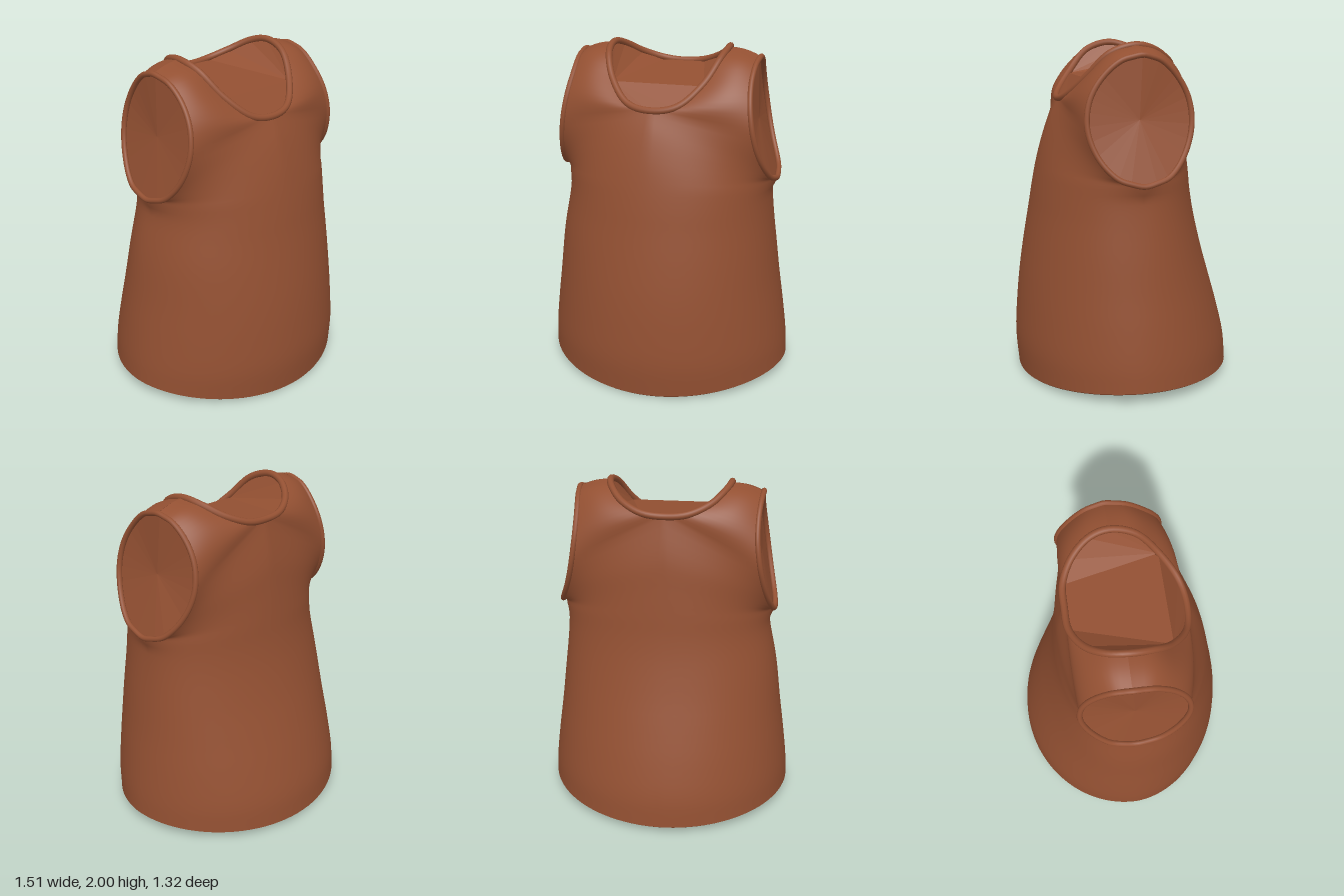
import * as THREE from 'three';
import { mergeVertices, mergeGeometries } from 'three/addons/utils/BufferGeometryUtils.js';

const { lerp, clamp, smoothstep } = THREE.MathUtils;
const V = (x, y, z) => new THREE.Vector3(x, y, z);
const curve = (pts) => new THREE.CatmullRomCurve3(pts.map((p) => V(...p)));
const range = (n, f) => Array.from({ length: n }, (_, i) => f(i));

// The right half mirrors the left but is a touch slimmer under the arm
const mirror = (p) => V(-p.x * (1 - 0.045 * Math.exp(-(((p.y - 1.18) / 0.2) ** 2))), p.y, p.z);

// A path whose integer parameter lands on its points, with a corner where the two pieces meet
function path(lower, upper) {
  const n = lower.length - 1, m = upper.length;
  const a = curve(lower), b = curve([lower[n], ...upper]);
  return (row) => (row <= n ? a.getPoint(row / n) : b.getPoint((row - n) / m));
}

// Edges of the panels: hem = row 0, armpit = row 7, base of the neckline = row 10, shoulder = row 14
const sideSeam = [[0.755, 0.07, 0.02], [0.747, 0.2, 0.02], [0.722, 0.4, 0.02], [0.693, 0.6, 0.02],
  [0.668, 0.8, 0.02], [0.643, 1.0, 0.02], [0.632, 1.12, 0.02], [0.63, 1.23, 0.02]];
const panels = {
  front: {
    center: path([[0, 0.01, 0.645], [0, 0.2, 0.66], [0, 0.4, 0.65], [0, 0.6, 0.63], [0, 0.8, 0.6], [0, 1.0, 0.565],
      [0, 1.12, 0.545], [0, 1.25, 0.52], [0, 1.4, 0.485], [0, 1.55, 0.437], [0, 1.664, 0.385]],
    [[0.145, 1.69, 0.36], [0.268, 1.805, 0.262], [0.335, 1.935, 0.14], [0.352, 1.98, 0]]),
    side: path(sideSeam, [[0.625, 1.27, 0.16], [0.597, 1.39, 0.27], [0.567, 1.55, 0.32],
      [0.543, 1.7, 0.297], [0.53, 1.82, 0.22], [0.532, 1.905, 0.115], [0.537, 1.932, 0]]),
    power: [1.08, 0.86],
  },
  back: {
    center: path([[0, 0.04, -0.655], [0, 0.2, -0.64], [0, 0.4, -0.59], [0, 0.6, -0.53], [0, 0.8, -0.47], [0, 1.0, -0.42],
      [0, 1.14, -0.395], [0, 1.27, -0.38], [0, 1.43, -0.362], [0, 1.61, -0.34], [0, 1.84, -0.285]],
    [[0.13, 1.853, -0.278], [0.25, 1.9, -0.215], [0.328, 1.96, -0.11], [0.352, 1.98, 0]]),
    side: path(sideSeam, [[0.62, 1.27, -0.12], [0.58, 1.39, -0.225], [0.542, 1.55, -0.278],
      [0.52, 1.7, -0.262], [0.517, 1.82, -0.195], [0.527, 1.905, -0.1], [0.537, 1.932, 0]]),
    power: [1.02, 0.86],
  },
};
const TOP = 14, SUB = 4, COLS = 24, MID_Z = 0.02;

// Point on a panel: u runs from the centre line to the side along an oval section
function panelPoint({ center, side, power }, row, u) {
  const c = center(row), s = side(row);
  const p = lerp(...power, smoothstep(row, 0, 7));
  const round = (a) => Math.pow(Math.max(Math.cos(a), 0), p);
  // angle at which the armhole cuts the oval
  const cut = Math.min(row, 11);
  const k = Math.acos(clamp((side(cut).z - MID_Z) / (center(cut).z - MID_Z), 0, 0.9) ** (1 / p));
  const bulge = (round(u * k) - round(k)) / (1 - round(k));
  const lift = lerp(smoothstep(u, 0, 1), u, smoothstep(row, 0, 7));
  const point = V(lerp(c.x, s.x, Math.sin(u * k) / Math.sin(k)), lerp(c.y, s.y, lift), lerp(s.z, c.z, bulge));
  // cloth flares out along the lower armhole and is full over the shoulder
  point.x += 0.03 * u ** 8 * smoothstep(row, 6.2, 7) * (1 - smoothstep(row, 7, 10));
  const puff = Math.sin(Math.PI * u) * (0.016 * smoothstep(row, 9, 12) - 0.006 * smoothstep(row, 12, 14));
  return point.addScaledVector(V(0, Math.max(point.y - 1.6, 0), point.z).normalize(), puff);
}

// Indexed surface from a list of equally long rows of points
function surface(rows, flip = false) {
  const w = rows[0].length, index = [];
  for (let j = 0; j < rows.length - 1; j++) {
    for (let i = 0; i < w - 1; i++) {
      const a = j * w + i, b = a + 1, c = a + w, d = c + 1;
      index.push(...(flip ? [a, c, b, b, c, d] : [a, b, c, b, d, c]));
    }
  }
  const g = new THREE.BufferGeometry().setFromPoints(rows.flat());
  g.setIndex(index);
  return g;
}

// Flat facets from the first point to the line through the others
function fan([apex, ...line]) {
  const pts = line.slice(1).flatMap((p, i) => [apex, line[i], p]);
  const g = new THREE.BufferGeometry().setFromPoints(pts);
  g.computeVertexNormals();
  return g;
}

export function createModel() {
  const group = new THREE.Group();
  const material = new THREE.MeshStandardMaterial({ color: 0x935032, side: THREE.DoubleSide });
  const add = (name, geometry) => {
    const mesh = new THREE.Mesh(geometry, material);
    mesh.name = name;
    group.add(mesh);
  };
  const { front, back } = panels;

  // Cloth: front and back panels, each mirrored, welded into one smooth skin
  const parts = [];
  for (const panel of [front, back]) {
    const rows = range(TOP * SUB + 1, (j) => range(COLS + 1, (i) => panelPoint(panel, j / SUB, i / COLS)));
    parts.push(surface(rows, panel === back));
    parts.push(surface(rows.map((r) => r.map(mirror)), panel === front));
  }
  const cloth = mergeVertices(mergeGeometries(parts), 1e-4);
  cloth.computeVertexNormals();
  add('body', cloth);

  // Neckline: rolled edge
  const rim = (loop, r) => new THREE.TubeGeometry(new THREE.CatmullRomCurve3(loop, true), 96, r, 10, true);
  const half = [...range(5, (i) => front.center(10 + i)), ...range(4, (i) => back.center(13 - i))];
  add('neckRim', rim([...half, ...half.slice(1, -1).reverse().map(mirror)], 0.02));

  // Neck filling: a level middle, a slope down to the front and facets up to each shoulder
  const inner = half.map((p) => V(p.x, p.y - 0.012, p.z));
  const frontArc = inner.slice(0, 3), sideArc = inner.slice(2, 8), rearArc = inner.slice(7);
  add('neckFilling', mergeGeometries([
    fan([...frontArc.map(mirror).reverse(), ...frontArc.slice(1)]),
    fan([mirror(sideArc[0]), sideArc[0], rearArc[0], mirror(rearArc[0])]),
    fan(sideArc),
    fan([sideArc[0], ...sideArc.slice(1).reverse()].map(mirror)),
    fan([...rearArc, mirror(rearArc[0])]),
  ]));

  // Armholes: rolled edge and slightly sunken filling
  const armhole = [
    ...range(14, (i) => panelPoint(front, 7 + i / 2, 1)),
    ...range(14, (i) => panelPoint(back, 14 - i / 2, 1)),
  ];
  const arms = { left: armhole, right: armhole.map(mirror).reverse() };
  for (const [name, loop] of Object.entries(arms)) {
    const s = name === 'left' ? 1 : -1;
    add(name + 'ArmholeRim', rim(loop, 0.016));
    const sunk = loop.map((p) => V(p.x - s * 0.015, p.y, p.z)).reverse();
    add(name + 'ArmholeFilling', fan([V(s * 0.54, 1.58, 0.02), ...sunk, sunk[0]]));
  }

  // Hem: the cloth turns in and up to a closed underside
  const quarter = (panel) => range(COLS + 1, (i) => panelPoint(panel, 0, i / COLS));
  const leftHem = [...quarter(front), ...quarter(back).reverse().slice(1)];
  const hem = [...leftHem, ...leftHem.slice(0, -1).reverse().map(mirror)];
  const inset = (k, dy) => hem.map((p) => V(p.x * k, p.y + dy, p.z * k));
  const lining = surface([hem, inset(0.985, -0.008), inset(0.965, 0.005), inset(0.955, 0.13)], true);
  lining.computeVertexNormals();
  add('hemFold', lining);
  add('underside', fan([V(0, 0.18, 0), ...inset(0.955, 0.13).reverse()]));

  return group;
}
